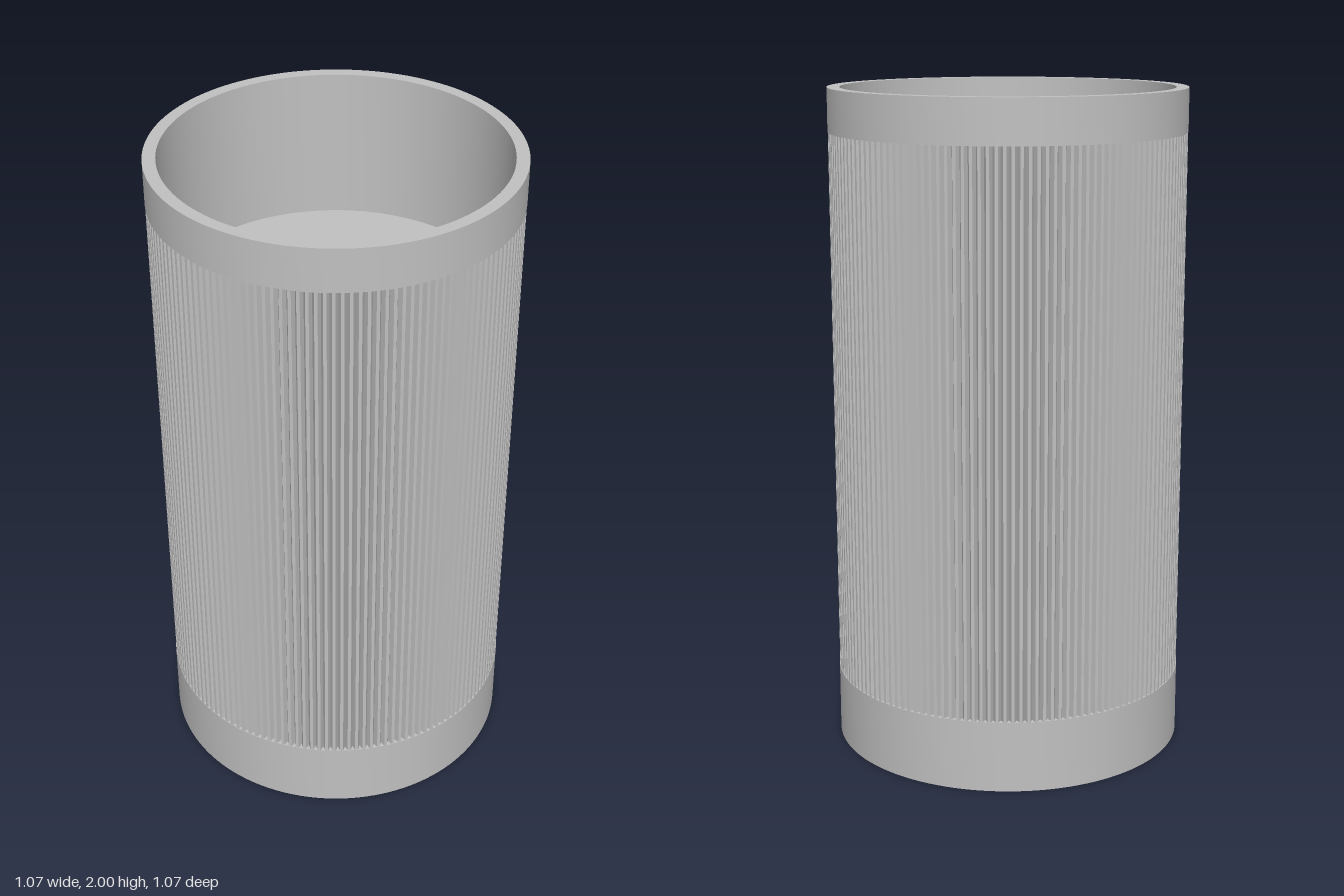
import * as THREE from 'three';
import { toCreasedNormals } from 'three/addons/utils/BufferGeometryUtils.js';

const R = 0.5325;                      // outer radius
const GRIP_LOW = 0.215, GRIP_HIGH = 1.87;

// Hollow body: deep upper cup, lower socket with a ledge, smooth collars
function bodyGeometry() {
  const profile = [
    [0, 1.5], [0.415, 1.5], [0.415, 0.195], [0.46, 0.195], [0.46, 0],
    [R, 0], [R, GRIP_LOW], [0.51, GRIP_LOW], [0.51, GRIP_HIGH], [R, GRIP_HIGH],
    [R, 2], [0.495, 2], [0.495, 1.545], [0, 1.545],
  ].map(([r, y]) => new THREE.Vector2(r, y));
  return toCreasedNormals(new THREE.LatheGeometry(profile, 128), 0.6);
}

// Ring of fine vertical ribs with V grooves
function gripGeometry(count = 144) {
  const shape = new THREE.Shape();
  const step = (Math.PI * 2) / count;
  const points = [];
  for (let i = 0; i < count; i++) {
    for (const [f, r] of [[0, 0.514], [0.3, R - 0.001], [0.7, R - 0.001]]) {
      const a = (i + f) * step;
      points.push(new THREE.Vector2(r * Math.cos(a), r * Math.sin(a)));
    }
  }
  shape.setFromPoints(points);
  const hole = new THREE.Path();
  hole.absarc(0, 0, 0.503, 0, Math.PI * 2, true);
  shape.holes.push(hole);
  const geometry = new THREE.ExtrudeGeometry(shape, {
    depth: GRIP_HIGH - GRIP_LOW, bevelEnabled: false, curveSegments: 48,
  });
  return geometry.rotateX(-Math.PI / 2).translate(0, GRIP_LOW, 0);
}

// Helical ridge inside the socket, fading out at both ends
function threadGeometry(turns = 3, perTurn = 72) {
  const rows = turns * perTurn;
  const positions = [], index = [];
  for (let i = 0; i <= rows; i++) {
    const angle = (i / perTurn) * Math.PI * 2;
    const fade = Math.min(1, i / 12, (rows - i) / 12);
    const y = 0.03 + 0.135 * (i / rows);
    const crest = 0.461 - 0.026 * fade;
    for (const [r, dy] of [[0.461, -0.018], [crest, -0.005], [crest, 0.005], [0.461, 0.018]]) {
      positions.push(r * Math.sin(angle), y + dy, r * Math.cos(angle));
    }
  }
  for (let i = 0; i < rows; i++) {
    for (let k = 0; k < 3; k++) {
      const a = i * 4 + k, b = a + 4;
      index.push(a, a + 1, b, a + 1, b + 1, b);
    }
  }
  const geometry = new THREE.BufferGeometry();
  geometry.setAttribute('position', new THREE.Float32BufferAttribute(positions, 3));
  geometry.setIndex(index);
  return toCreasedNormals(geometry, 0.5);
}

export function createModel() {
  const metal = new THREE.MeshStandardMaterial({ color: 0xc0c0c0 });
  metal.name = 'light grey';

  const model = new THREE.Group();
  model.name = 'ribbedTube';
  const add = (name, geometry) => {
    const mesh = new THREE.Mesh(geometry, metal);
    mesh.name = name;
    model.add(mesh);
  };
  add('body', bodyGeometry());
  add('ribbedGrip', gripGeometry());
  add('socketThread', threadGeometry());
  return model;
}
